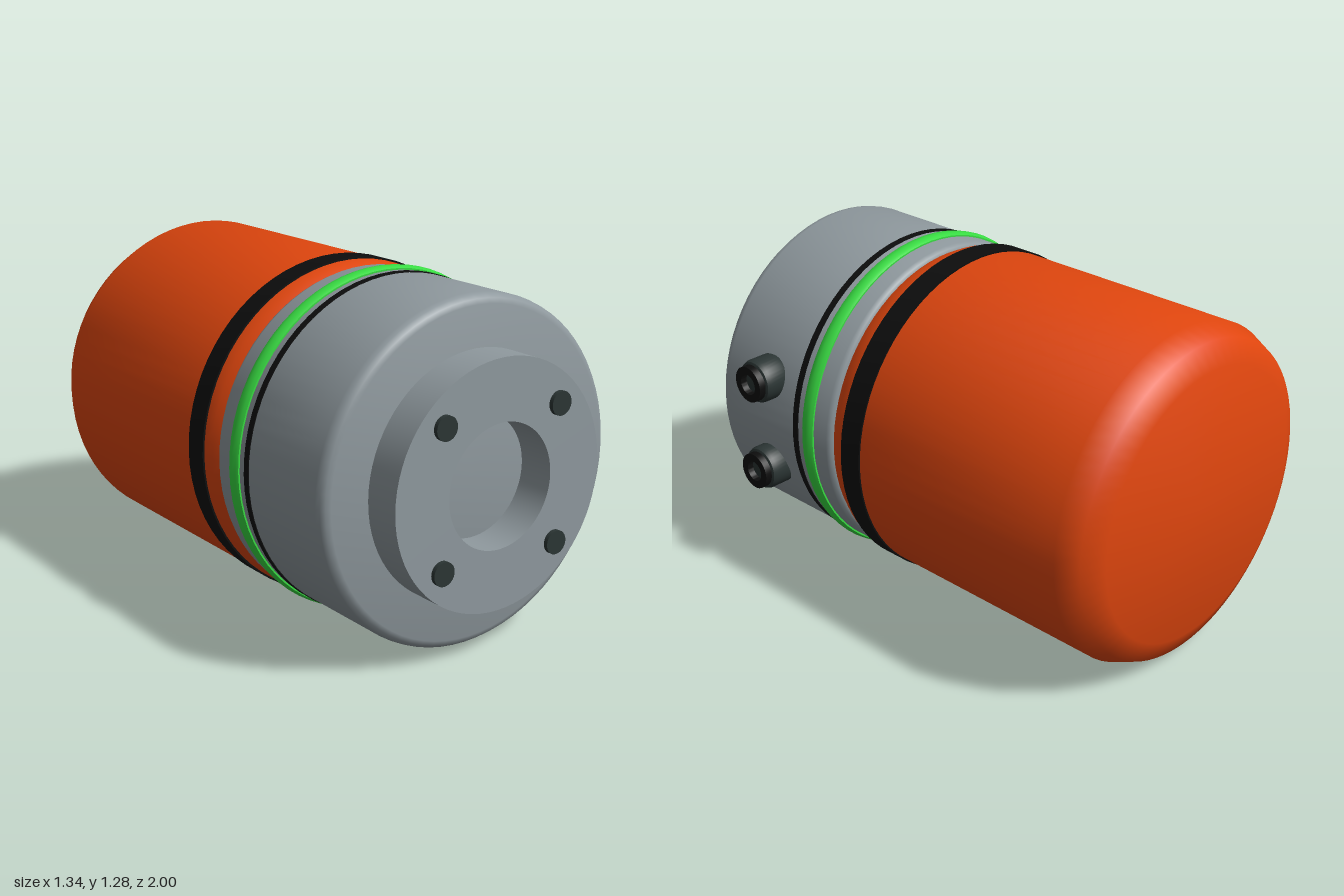
import * as THREE from 'three';
import { toCreasedNormals } from 'three/addons/utils/BufferGeometryUtils.js';

const material = (name, color) => {
  const m = new THREE.MeshStandardMaterial({ color });
  m.name = name;
  return m;
};

export function createModel() {
  const grey = material('grey metal', 0x8f999e);
  const orange = material('orange housing', 0xe0460e);
  const green = material('green ring', 0x38dc42);
  const black = material('black rubber', 0x0d0d0d);
  const slate = material('dark slate', 0x2b3534);

  const model = new THREE.Group();
  model.name = 'cylindricalModule';

  // Turned part: profile of [radius, height] running upwards along y
  const turned = (profile, segments = 72) => toCreasedNormals(
    new THREE.LatheGeometry(profile.map(([r, h]) => new THREE.Vector2(r, h)), segments), 0.78);

  const add = (parent, name, geometry, mat) => {
    const mesh = new THREE.Mesh(geometry, mat);
    mesh.name = name;
    parent.add(mesh);
    return mesh;
  };

  // Main axis runs along z, heights below are z positions
  const body = new THREE.Group();
  body.name = 'body';
  body.position.set(-0.033, 0.64, 0);
  body.rotation.x = Math.PI / 2;
  model.add(body);

  add(body, 'rearHousing', turned([
    [0, -1], [0.51, -1], [0.594, -0.96], [0.631, -0.88],
    [0.631, 0.13], [0.622, 0.175], [0.605, 0.21], [0, 0.21],
  ]), orange);

  add(body, 'frontHousing', turned([
    [0, 0.206], [0.605, 0.206], [0.617, 0.213], [0.624, 0.23], [0.624, 0.798],
    [0.62, 0.818], [0.608, 0.834], [0.59, 0.84], [0, 0.84],
  ]), grey);

  // Rings around the housings
  add(body, 'wideBand', turned([
    [0.6, 0.04], [0.637, 0.04], [0.637, 0.135], [0.6, 0.135],
  ]), black);
  add(body, 'signalRing', turned([
    [0.61, 0.298], [0.63, 0.298], [0.636, 0.308], [0.639, 0.326],
    [0.636, 0.345], [0.63, 0.355], [0.61, 0.355],
  ]), green);
  add(body, 'sealRing', turned([
    [0.61, 0.385], [0.627, 0.385], [0.627, 0.412], [0.61, 0.412],
  ]), black);

  // Mounting flange with an open centre bore
  add(body, 'flange', turned([
    [0.443, 0.835], [0.443, 0.982], [0.222, 0.982], [0.222, 0.835],
  ]), grey);

  // Four flange bolts
  const boltGeometry = new THREE.CylinderGeometry(0.043, 0.043, 0.05, 32);
  for (const x of [-1, 1]) {
    for (const z of [-1, 1]) {
      add(body, 'flangeBolt', boltGeometry, slate).position.set(x * 0.2485, 0.973, z * 0.2485);
    }
  }

  // Two cable sockets on the left side, pointing along +x
  const socketBody = turned([
    [0, 0.52], [0.07, 0.52], [0.084, 0.545], [0.084, 0.622],
    [0.079, 0.636], [0.068, 0.641], [0, 0.641],
  ], 40);
  const socketRim = turned([
    [0.07, 0.63], [0.07, 0.667], [0.04, 0.667], [0.04, 0.63],
  ], 40);
  for (const y of [0.825, 0.46]) {
    const socket = new THREE.Group();
    socket.name = 'cableSocket';
    socket.position.set(0, y, 0.567);
    socket.rotation.z = -Math.PI / 2;
    add(socket, 'socketBody', socketBody, slate);
    add(socket, 'socketRim', socketRim, black);
    model.add(socket);
  }

  return model;
}
